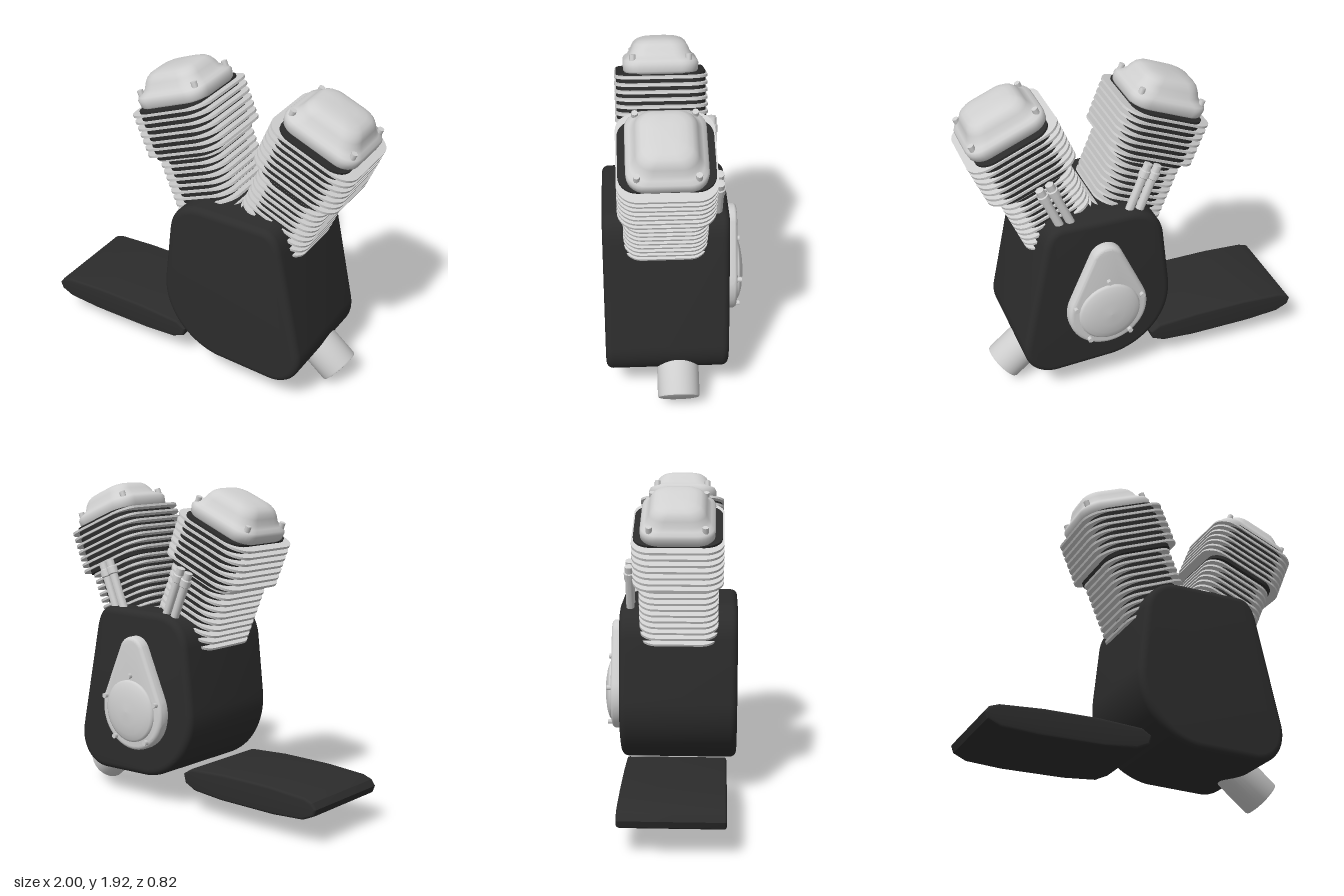
import * as THREE from 'three';
import { toCreasedNormals } from 'three/addons/utils/BufferGeometryUtils.js';

const black = new THREE.MeshStandardMaterial({ name: 'black', color: 0x2c2c2c });
const silver = new THREE.MeshStandardMaterial({ name: 'silver', color: 0xd0d0d0 });

function add(parent, name, geometry, material, x = 0, y = 0, z = 0) {
  const mesh = new THREE.Mesh(geometry, material);
  mesh.name = name;
  mesh.position.set(x, y, z);
  parent.add(mesh);
  return mesh;
}

// Stack of rounded rectangles; each section is [y, halfX, halfZ, cornerRadius]
function loft(sections, crease = 0.7) {
  const perCorner = 8, n = perCorner * 4;
  const pos = [], idx = [];
  for (const [y, hx, hz, r] of sections) {
    for (let q = 0; q < 4; q++) {
      const sx = q === 0 || q === 3 ? 1 : -1, sz = q < 2 ? 1 : -1;
      for (let k = 0; k < perCorner; k++) {
        const a = (q + k / (perCorner - 1)) * Math.PI / 2;
        pos.push(sx * (hx - r) + r * Math.cos(a), y, -(sz * (hz - r) + r * Math.sin(a)));
      }
    }
  }
  const last = sections.length - 1;
  pos.push(0, sections[0][0], 0, 0, sections[last][0], 0);
  const bottom = (last + 1) * n, top = bottom + 1;
  for (let j = 0; j < n; j++) {
    const k = (j + 1) % n;
    for (let i = 0; i < last; i++) {
      const a = i * n + j, b = i * n + k;
      idx.push(a, b, b + n, a, b + n, a + n);
    }
    idx.push(bottom, k, j, top, last * n + j, last * n + k);
  }
  const g = new THREE.BufferGeometry();
  g.setAttribute('position', new THREE.Float32BufferAttribute(pos, 3));
  g.setIndex(idx);
  return toCreasedNormals(g, crease);
}

// Extrusion with rounded rims, running from z0 to z1
function slab(shape, z0, z1, bevel, crease = 0.6) {
  const g = new THREE.ExtrudeGeometry(shape, {
    depth: z1 - z0 - 2 * bevel, bevelThickness: bevel, bevelSize: bevel,
    bevelOffset: -bevel, bevelSegments: 5, curveSegments: 24,
  });
  g.translate(0, 0, z0 + bevel);
  return toCreasedNormals(g, crease);
}

const CX = 0.285, CY = 0.6; // crank centre

function buildCylinder(side) {
  const g = new THREE.Group();
  g.name = side < 0 ? 'rightCylinder' : 'leftCylinder';
  g.position.set(CX, CY, 0.06);
  g.rotation.z = -side * Math.PI / 8;

  // Stepped barrel
  add(g, 'lowerBarrel', loft([[0.48, 0.178, 0.222, 0.1], [0.92, 0.178, 0.222, 0.1]]), black);
  add(g, 'upperBarrel', loft([[0.9, 0.225, 0.255, 0.1], [1.2, 0.225, 0.255, 0.1]]), black);

  // Cooling fins, wider above the step
  const small = loft([[-0.007, 0.23, 0.235, 0.1], [0.007, 0.23, 0.235, 0.1]]);
  const large = loft([[-0.007, 0.28, 0.264, 0.11], [0.007, 0.28, 0.264, 0.11]]);
  for (let i = 0; i < 17; i++) {
    const y = 0.515 + i * 0.0416;
    add(g, 'coolingFin', y > 0.9 ? large : small, silver, 0, y, 0);
  }

  // Domed rocker cover with corner bolts
  add(g, 'rockerCover', loft([
    [1.195, 0.225, 0.2, 0.09], [1.21, 0.238, 0.212, 0.1], [1.25, 0.243, 0.215, 0.1],
    [1.268, 0.236, 0.208, 0.1], [1.282, 0.215, 0.19, 0.1], [1.3, 0.198, 0.175, 0.1],
    [1.33, 0.185, 0.163, 0.09], [1.355, 0.172, 0.15, 0.09], [1.372, 0.152, 0.13, 0.08],
    [1.383, 0.122, 0.1, 0.07], [1.389, 0.07, 0.06, 0.04],
  ], 1.2), silver);
  const bolt = new THREE.CylinderGeometry(0.018, 0.018, 0.05, 8);
  for (const x of [-0.198, 0.198]) for (const z of [-0.158, 0.158]) {
    add(g, 'coverBolt', bolt, silver, x, 1.28, z);
  }

  // Pair of pushrod tubes with collars
  for (const lat of [0, 0.062]) {
    const tube = new THREE.LatheGeometry([
      [0, 0.48], [0.025, 0.48], [0.025, 0.83], [0.032, 0.835], [0.032, 0.875],
      [0.025, 0.88], [0.025, 0.92], [0, 0.925],
    ].map(p => new THREE.Vector2(...p)), 20);
    add(g, 'pushrodTube', toCreasedNormals(tube, 0.6), silver, -side * lat, 0, -0.295);
  }
  return g;
}

export function createModel() {
  const model = new THREE.Group();
  model.name = 'vTwinEngine';

  // Crankcase: round lower corner about the crank, tapered sides
  const c = new THREE.Shape();
  c.moveTo(0.52, 1.2);
  c.lineTo(0.14, 1.2);
  c.bezierCurveTo(0.0, 1.2, -0.075, 1.12, -0.09, 1.01);
  c.lineTo(-0.128, 0.67);
  c.absarc(CX, CY, 0.417, Math.PI * 0.97, Math.PI * 1.46, false);
  c.lineTo(0.59, 0.172);
  c.bezierCurveTo(0.73, 0.17, 0.81, 0.29, 0.785, 0.42);
  c.lineTo(0.645, 1.06);
  c.bezierCurveTo(0.625, 1.15, 0.59, 1.2, 0.52, 1.2);
  add(model, 'crankcase', slab(c, -0.3, 0.412, 0.04), black);

  for (const side of [-1, 1]) model.add(buildCylinder(side));

  // Teardrop timing cover on the back, with straight tangents to a small top arc
  const R = 0.243, r = 0.1, top = 0.95;
  const t = Math.asin((R - r) / (top - CY));
  const cover = new THREE.Shape();
  cover.absarc(CX, top, r, t, Math.PI - t, false);
  cover.absarc(CX, CY, R, Math.PI - t, 2 * Math.PI + t, false);
  add(model, 'timingCover', slab(cover, -0.365, -0.28, 0.025), silver);

  // Shallow domed disc on the cover
  const dome = new THREE.LatheGeometry([
    [0.188, 0], [0.188, 0.012], [0.175, 0.02], [0.14, 0.032], [0.08, 0.042], [0, 0.046],
  ].map(p => new THREE.Vector2(...p)), 48);
  add(model, 'timingDome', dome, silver, CX, CY, -0.364).rotation.x = -Math.PI / 2;

  const bolt = new THREE.CylinderGeometry(0.016, 0.016, 0.04, 8);
  bolt.rotateX(Math.PI / 2);
  for (let i = 0; i < 5; i++) {
    const a = Math.PI / 2 + i * Math.PI * 0.4;
    add(model, 'timingBolt', bolt, silver,
      CX + 0.215 * Math.cos(a), CY + 0.215 * Math.sin(a), -0.368);
  }

  // Angled stub at the lower corner
  const stub = new THREE.LatheGeometry([
    [0, 0], [0.122, 0], [0.122, 0.39], [0.118, 0.398], [0.11, 0.4], [0, 0.4],
  ].map(p => new THREE.Vector2(...p)), 40);
  add(model, 'outletStub', toCreasedNormals(stub, 0.6), silver, 0.552, 0.353, -0.005)
    .rotation.z = -Math.PI / 2 - Math.atan2(0.633, 0.774);

  // Flat tapered box beside the crankcase
  const p = new THREE.Shape([
    [-1, 0.23], [-0.985, 0.19], [-0.91, 0.155], [-0.7, 0.14], [-0.32, 0.14], [-0.12, 0.155],
    [-0.045, 0.19], [-0.03, 0.245], [-0.09, 0.283], [-0.35, 0.3], [-0.67, 0.3],
    [-0.92, 0.285], [-0.975, 0.265],
  ].map(q => new THREE.Vector2(...q)));
  add(model, 'sideBox', slab(p, -0.25, 0.35, 0.015, 0.4), black);

  return model;
}
